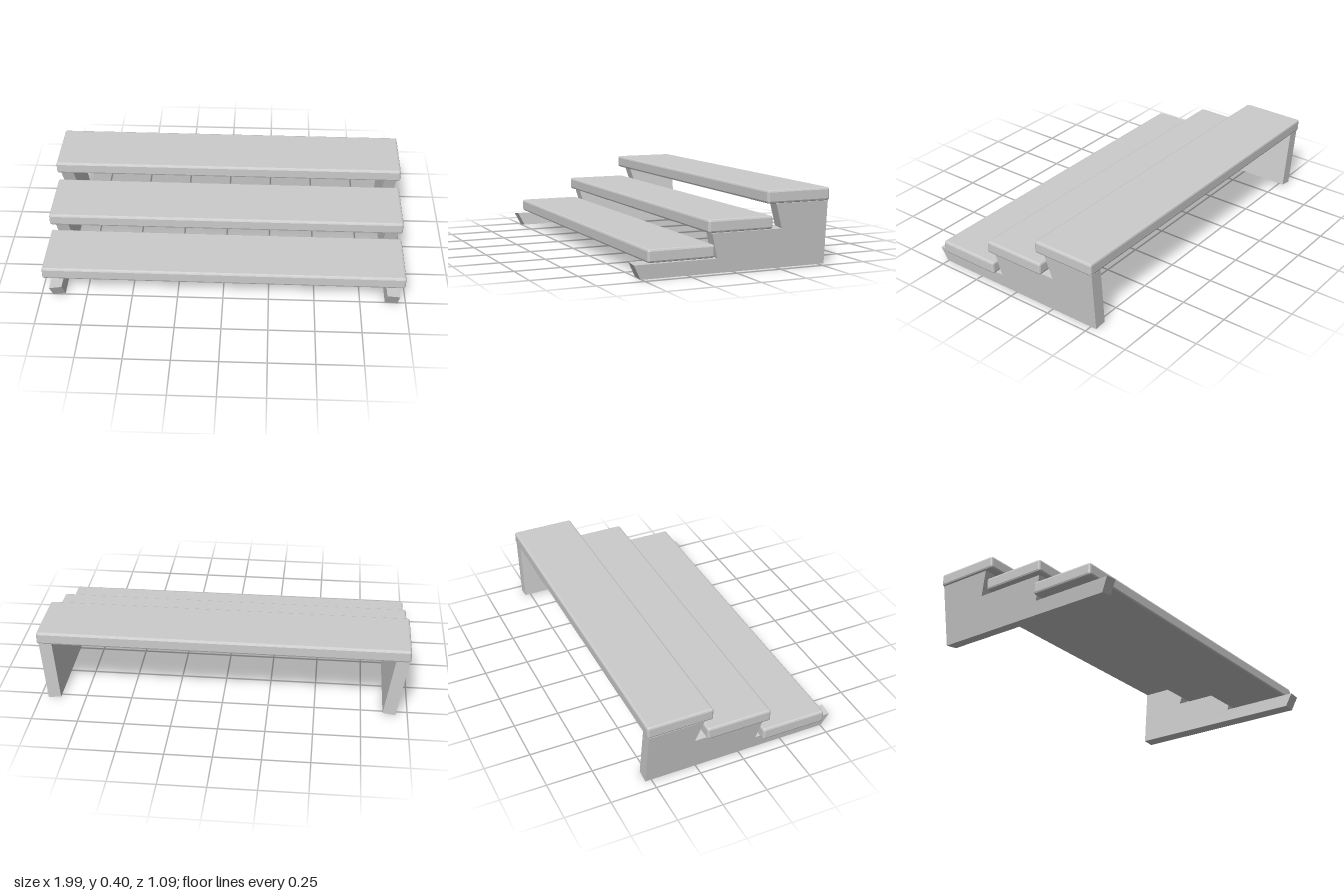
import * as THREE from 'three';
import { RoundedBoxGeometry } from 'three/addons/geometries/RoundedBoxGeometry.js';

export function createModel() {
  const model = new THREE.Group();
  model.name = 'stepStand';
  const material = new THREE.MeshStandardMaterial({ color: 0xcccccc, flatShading: true });

  // Three planks with chamfered edges, rising towards the back: [y, z, yaw]
  const planks = [
    ['lowerPlank', 0.122, 0.298, -0.004],
    ['middlePlank', 0.246, -0.028, -0.003],
    ['upperPlank', 0.374, -0.36, -0.003],
  ];
  for (const [name, y, z, yaw] of planks) {
    const plank = new THREE.Mesh(new RoundedBoxGeometry(1.992, 0.068, 0.362, 1, 0.011), material);
    plank.name = name;
    plank.position.set(0, y, z);
    plank.rotation.y = yaw;
    model.add(plank);
  }

  // Stepped side panel, drawn as (z, height) and extruded across x
  const profile = [
    [0.505, 0], [-0.534, 0], [-0.534, 0.337], [-0.23, 0.337], [-0.27, 0.205],
    [0.125, 0.205], [0.092, 0.075], [0.542, 0.075],
  ];
  const shape = new THREE.Shape(profile.map(([z, y]) => new THREE.Vector2(z, y)));
  const panelGeometry = new THREE.ExtrudeGeometry(shape, { depth: 0.07, bevelEnabled: false });
  panelGeometry.translate(0, 0, -0.035);
  panelGeometry.rotateY(-Math.PI / 2);

  // The panels splay outwards, the right one a little more
  const panels = [
    ['rightSidePanel', -0.902, 0.009, 0.155],
    ['leftSidePanel', 0.921, 0.006, -0.085],
  ];
  for (const [name, x, y, lean] of panels) {
    const panel = new THREE.Mesh(panelGeometry, material);
    panel.name = name;
    panel.position.set(x, y, 0);
    panel.rotation.z = lean;
    model.add(panel);
  }
  return model;
}
